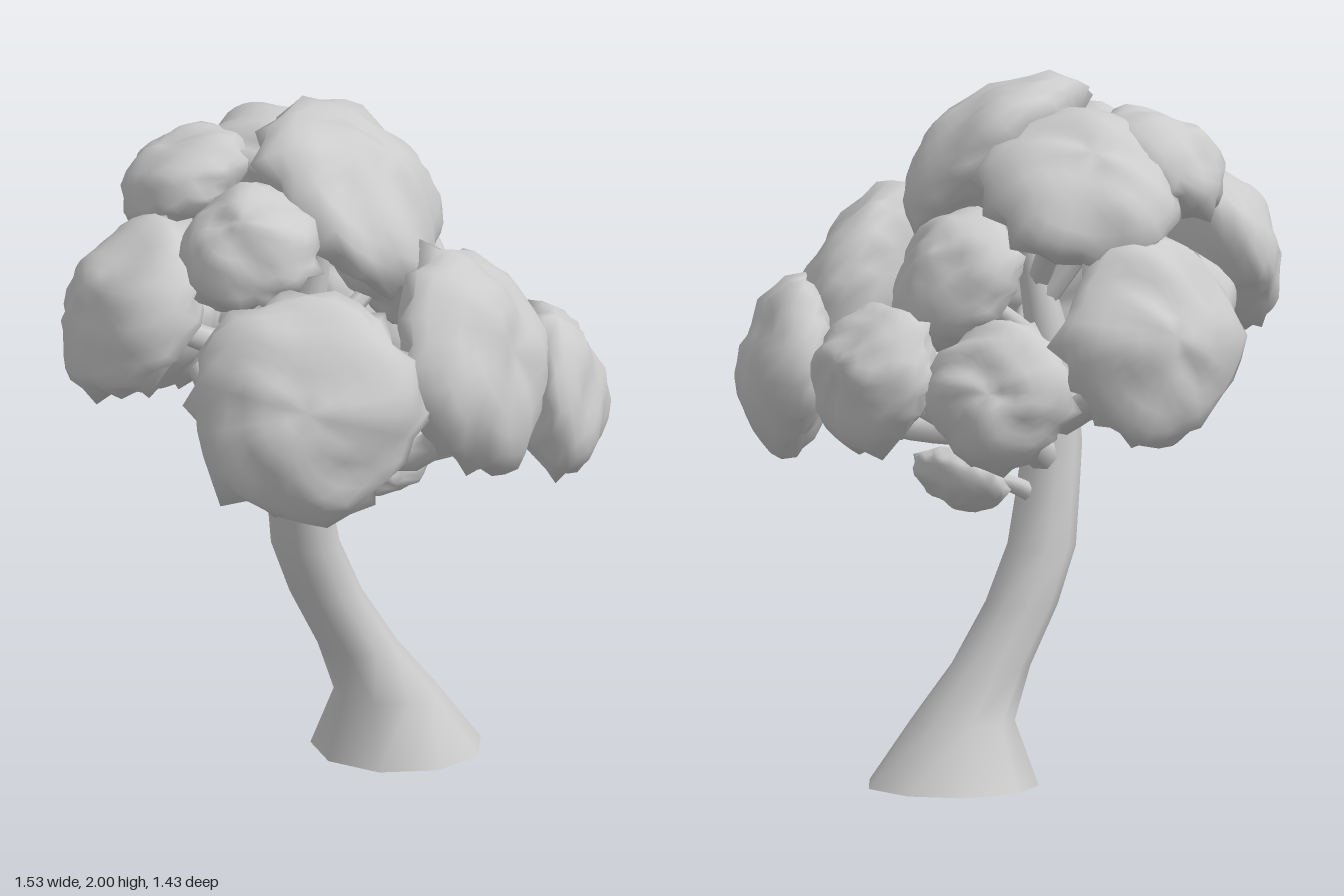
import * as THREE from 'three';
import { mergeVertices } from 'three/addons/utils/BufferGeometryUtils.js';

const material = new THREE.MeshStandardMaterial({ color: 0xcccccc, side: THREE.DoubleSide });
const UP = new THREE.Vector3(0, 1, 0);

// Trunk: level rings [y, x, z, radius x, radius z], flared at the foot
const TRUNK = [
  [0, 0.33, -0.13, 0.245, 0.255],
  [0.18, 0.285, -0.11, 0.15, 0.15],
  [0.33, 0.195, -0.11, 0.115, 0.115],
  [0.5, 0.095, -0.11, 0.103, 0.112],
  [0.66, 0.025, -0.1, 0.098, 0.105],
  [0.8, -0.005, -0.08, 0.09, 0.1],
  [0.95, -0.03, -0.065, 0.085, 0.09],
  [1.2, -0.035, -0.05, 0.068, 0.07],
  [1.4, 0, -0.03, 0.05, 0.05],
  [1.65, 0.03, 0, 0.03, 0.03],
];

function makeTrunk() {
  const n = TRUNK.length - 1;
  let g = new THREE.CylinderGeometry(1, 1, 1, 9, n);
  const p = g.attributes.position;
  for (let i = 0; i < p.count; i++) {
    const [y, x, z, rx, rz] = TRUNK[Math.round((p.getY(i) + 0.5) * n)];
    p.setXYZ(i, x + p.getX(i) * rx, y, z + p.getZ(i) * rz);
  }
  g.deleteAttribute('uv');
  g = mergeVertices(g);
  g.computeVertexNormals();
  return new THREE.Mesh(g, material);
}

// Branch: tube through the points, narrowing from r0 to r1
function makeBranch(r0, r1, ...points) {
  const curve = new THREE.CatmullRomCurve3(points.map((q) => new THREE.Vector3(...q)));
  const steps = 8, sides = 7;
  const g = new THREE.TubeGeometry(curve, steps, 1, sides);
  const p = g.attributes.position, v = new THREE.Vector3();
  for (let i = 0; i < p.count; i++) {
    const t = Math.floor(i / (sides + 1)) / steps;
    const c = curve.getPointAt(t);
    v.fromBufferAttribute(p, i).sub(c).multiplyScalar(r0 + (r1 - r0) * t).add(c);
    p.setXYZ(i, v.x, v.y, v.z);
  }
  return new THREE.Mesh(g, material);
}

// Leaf clump: lumpy flattened dome with a ragged rim, facing along its normal
function makeClump(center, normal, radius, depth, seed) {
  const sides = 28, rows = 14;
  let g = new THREE.SphereGeometry(1, sides, rows);
  g.deleteAttribute('uv');
  g.deleteAttribute('normal');
  g = mergeVertices(g, 1e-4);
  const p = g.attributes.position, v = new THREE.Vector3();
  for (let i = 0; i < p.count; i++) {
    v.fromBufferAttribute(p, i);
    const lumps = 0.03 * Math.sin(5 * v.x + seed) + 0.03 * Math.sin(6 * v.z + 2 * seed)
      + 0.025 * Math.sin(9 * v.y + 7 * v.x + seed * 3) + 0.02 * Math.sin(11 * v.z - 8 * v.x + seed);
    // pointed teeth of uneven length, just below the widest row
    const rim = Math.exp(-Math.pow((v.y + 0.22) * 6, 2));
    const step = Math.round((Math.atan2(v.z, v.x) / (2 * Math.PI)) * sides + sides) % sides;
    const tooth = step % 2 ? -0.07 : 0.08 + 0.07 * Math.sin(step * 1.9 + seed);
    const out = (0.95 + lumps) * (1 + 0.14 * (1 - v.y * v.y)) + rim * tooth;
    const y = v.y * (v.y > 0 ? 1 : 0.9) * (1 + lumps * 2) - rim * tooth * 0.5;
    p.setXYZ(i, v.x * out * radius * 0.91, y * depth, v.z * out * radius * 0.91);
  }
  g.computeVertexNormals();
  const mesh = new THREE.Mesh(g, material);
  mesh.position.set(...center);
  mesh.quaternion.setFromUnitVectors(UP, new THREE.Vector3(...normal).normalize());
  return mesh;
}

// name, centre, facing direction, radius, depth
const CLUMPS = [
  ['crownFront', [0.085, 1.755, 0.075], [0.48, 0.7, 0.5], 0.325, 0.165],
  ['crownBack', [0.01, 1.71, -0.32], [0.08, 0.75, -0.6], 0.285, 0.16],
  ['crownLeftBack', [-0.28, 1.75, -0.25], [-0.45, 0.75, -0.3], 0.2, 0.14],
  ['crownLeftFront', [-0.31, 1.69, 0.225], [-0.4, 0.75, 0.4], 0.2, 0.15],
  ['sideLeft', [-0.565, 1.485, -0.02], [-0.85, 0.5, 0], 0.275, 0.155],
  ['frontLeft', [-0.29, 1.3, 0.515], [-0.38, 0.25, 0.9], 0.33, 0.155],
  ['frontRight', [0.28, 1.34, 0.43], [0.58, 0.3, 0.75], 0.325, 0.17],
  ['sideRightFront', [0.605, 1.155, 0.31], [0.88, 0.12, 0.35], 0.255, 0.145],
  ['sideRight', [0.56, 1.185, -0.11], [0.9, 0.3, -0.15], 0.215, 0.15],
  ['upperRight', [0.31, 1.45, -0.13], [0.75, 0.5, -0.1], 0.22, 0.145],
  ['backRight', [0.325, 1.15, -0.4], [0.65, 0.2, -0.7], 0.215, 0.14],
  ['backLow', [-0.08, 1.3, -0.555], [-0.03, 0.2, -0.97], 0.29, 0.145],
  ['backLeft', [-0.31, 1.32, -0.29], [-0.6, 0.3, -0.7], 0.215, 0.15],
  ['lowTwigLeaves', [0.3, 0.875, -0.13], [0.5, -0.8, -0.2], 0.14, 0.08],
];

// Branches: name, start radius, end radius, points
const BRANCHES = [
  ['rightFrontLimb', 0.06, 0.035, [-0.02, 0.97, -0.05], [0.14, 0.975, 0.1], [0.25, 1.0, 0.22], [0.28, 1.25, 0.38]],
  ['farRightLimb', 0.05, 0.03, [0.12, 0.97, 0.08], [0.32, 0.99, 0.16], [0.46, 1.04, 0.23], [0.58, 1.12, 0.29]],
  ['rightLimb', 0.045, 0.025, [-0.01, 0.95, -0.08], [0.28, 1.02, -0.1], [0.54, 1.16, -0.11]],
  ['backRightLimb', 0.05, 0.03, [-0.01, 0.9, -0.08], [0.16, 1.0, -0.24], [0.31, 1.13, -0.38]],
  ['frontLeftLimb', 0.05, 0.03, [-0.03, 1.05, -0.05], [-0.12, 1.16, 0.25], [-0.26, 1.28, 0.48]],
  ['leftLimb', 0.05, 0.03, [-0.02, 1.17, -0.05], [-0.28, 1.32, -0.05], [-0.54, 1.45, -0.02]],
  ['backLimb', 0.05, 0.03, [-0.02, 1.0, -0.08], [-0.04, 1.1, -0.3], [-0.08, 1.28, -0.53]],
  ['backLeftLimb', 0.045, 0.03, [-0.03, 1.02, -0.06], [-0.19, 1.08, -0.15], [-0.3, 1.3, -0.28]],
  ['upperLeftBackLimb', 0.04, 0.02, [-0.01, 1.35, -0.04], [-0.14, 1.55, -0.13], [-0.28, 1.72, -0.24]],
  ['upperLeftFrontLimb', 0.04, 0.02, [-0.01, 1.32, -0.03], [-0.15, 1.5, 0.1], [-0.3, 1.68, 0.21]],
  ['upperBackLimb', 0.04, 0.02, [0, 1.4, -0.03], [0, 1.58, -0.18], [0, 1.7, -0.32]],
  ['upperRightLimb', 0.04, 0.02, [-0.02, 1.2, -0.05], [0.16, 1.34, -0.09], [0.3, 1.44, -0.12]],
  ['lowTwig', 0.03, 0.018, [0.0, 0.78, -0.09], [0.14, 0.85, -0.11], [0.3, 0.88, -0.13]],
];

export function createModel() {
  const tree = new THREE.Group();
  tree.name = 'tree';
  const add = (name, mesh) => {
    mesh.name = name;
    tree.add(mesh);
  };
  add('trunk', makeTrunk());
  for (const [name, ...args] of BRANCHES) add(name, makeBranch(...args));
  CLUMPS.forEach(([name, ...args], i) => add(name + 'Foliage', makeClump(...args, 1 + i * 1.7)));
  return tree;
}
